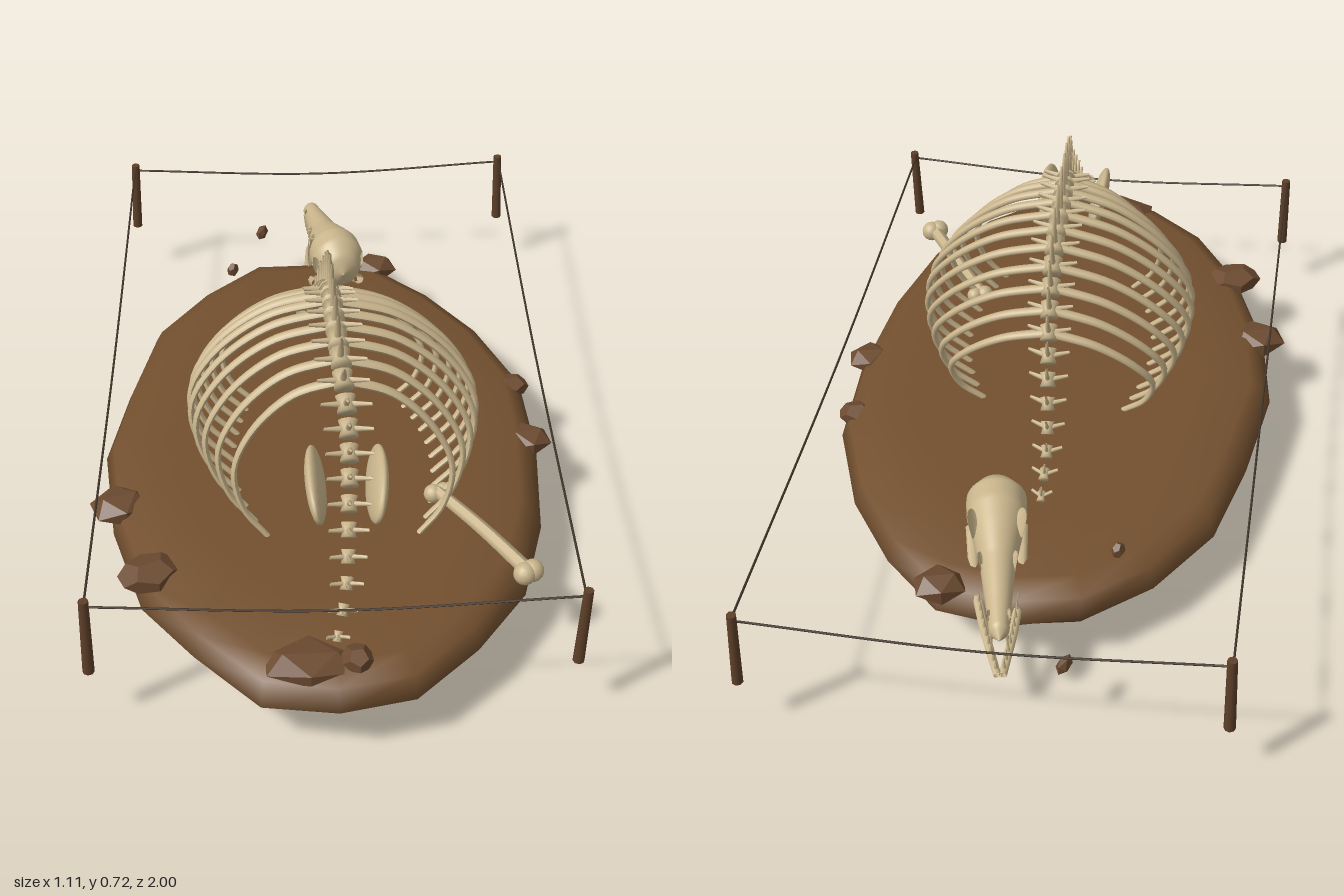
import * as THREE from 'three';

const mat = (name, color, extra = {}) => Object.assign(new THREE.MeshStandardMaterial({ color, ...extra }), { name });
const V = (x, y, z) => new THREE.Vector3(x, y, z);

export function createModel() {
  const root = new THREE.Group();
  const bone = mat('bone', 0xc9b58c, { side: THREE.DoubleSide });
  const earth = mat('earth', 0x73502f);
  const stone = mat('stone', 0x6b4a30, { flatShading: true });
  const wood = mat('wood', 0x5e4029);
  const cord = mat('cord', 0x40352a);

  let seed = 7;
  const rand = () => (seed = (seed * 16807) % 2147483647) / 2147483647;

  const add = (name, geo, material, parent = root) => {
    const m = new THREE.Mesh(geo, material);
    m.name = name;
    parent.add(m);
    return m;
  };

  // Tapered tube through points, optionally widened along z
  const limb = (name, pts, r0, r1, material = bone, parent = root, wide = 1, n = 14, sides = 7) => {
    const path = pts.length > 2 ? new THREE.CatmullRomCurve3(pts) : new THREE.LineCurve3(...pts);
    const geo = new THREE.TubeGeometry(path, n, 1, sides);
    const pos = geo.attributes.position, v = V();
    for (let i = 0; i < pos.count; i++) {
      const u = Math.floor(i / (sides + 1)) / n, c = path.getPointAt(u);
      v.fromBufferAttribute(pos, i).sub(c).multiplyScalar(r0 + (r1 - r0) * u);
      v.z *= wide;
      v.add(c);
      pos.setXYZ(i, v.x, v.y, v.z);
    }
    geo.computeVertexNormals();
    return add(name, geo, material, parent);
  };

  // Closed skin over rings of equal point count, leaving out cells that skip() picks
  const loft = (rings, skip = () => false) => {
    const n = rings[0].length, index = [];
    for (let i = 0; i < rings.length - 1; i++) for (let j = 0; j < n; j++) {
      if (skip(i + 0.5, j + 0.5)) continue;
      const a = i * n + j, b = i * n + (j + 1) % n;
      index.push(a, a + n, b, b, a + n, b + n);
    }
    const geo = new THREE.BufferGeometry().setFromPoints(rings.flat());
    geo.setIndex(index);
    geo.computeVertexNormals();
    return geo;
  };

  // Earth mound
  const rim = Array.from({ length: 20 }, () => [0.975 + rand() * 0.04, (rand() - 0.5) * 0.04]);
  const layers = [[0, 0, 0], [0.35, 0.005, 0], [0.7, 0.033, 0], [0.94, 0.075, 0.4], [1, 0.125, 1],
    [0.965, 0.168, 0.5], [0.9, 0.19, 0.2], [0.7, 0.198, 0], [0, 0.2, 0]];
  add('mound', loft(layers.map(([s, y, k]) => rim.map(([r, dy], j) => {
    const a = j / rim.length * Math.PI * 2;
    return V(Math.cos(a) * 0.53 * s * r, y + dy * k, 0.13 + Math.sin(a) * 0.865 * s * r);
  }))), earth);

  // Loose rocks: x, y, z, half sizes
  [[-0.49, 0.17, 0.35, 0.075, 0.035, 0.065], [-0.41, 0.18, 0.6, 0.075, 0.03, 0.06],
    [-0.06, 0.178, 0.89, 0.11, 0.028, 0.075], [0.04, 0.195, 0.9, 0.035, 0.025, 0.04],
    [0.16, 0.17, -0.67, 0.065, 0.035, 0.055], [0.48, 0.17, -0.1, 0.045, 0.025, 0.04],
    [0.495, 0.17, 0.125, 0.06, 0.03, 0.055], [-0.23, 0.235, -0.57, 0.015, 0.02, 0.02],
    [-0.15, 0.17, -0.87, 0.015, 0.02, 0.028]].forEach(([x, y, z, a, b, c], i) => {
    const m = add('rock', i % 2 ? new THREE.DodecahedronGeometry(1) : new THREE.IcosahedronGeometry(1), stone);
    m.position.set(x, y, z);
    m.scale.set(a, b, c);
    m.rotation.y = i > 6 ? -0.4 : rand() * 0.5;
  });

  // Corner stakes and the sagging cord between them
  const stakes = [[-0.51, -0.97], [0.535, -0.99], [0.52, 0.865], [-0.53, 0.865]];
  stakes.forEach(([x, z], i) => {
    const s = add('stake', new THREE.CylinderGeometry(0.011, 0.013, 0.2, 8), wood);
    s.position.set(x, 0.24, z);
    s.rotation.z = (rand() - 0.5) * 0.08;
    const [x2, z2] = stakes[(i + 1) % 4];
    limb('cord', [V(x, 0.323, z), V((x + x2) / 2, 0.298, (z + z2) / 2), V(x2, 0.323, z2)],
      0.0028, 0.0028, cord, root, 1, 20, 5);
  });

  // Spine, from tail to neck
  const spine = new THREE.CatmullRomCurve3([V(0, 0.22, 0.86), V(0.02, 0.29, 0.79), V(0.03, 0.4, 0.68),
    V(0.035, 0.51, 0.52), V(0.025, 0.585, 0.4), V(0.015, 0.61, 0.25), V(0.01, 0.59, 0.1), V(0, 0.5, -0.06),
    V(-0.015, 0.39, -0.19), V(-0.028, 0.27, -0.3), V(-0.03, 0.22, -0.4)]);
  const count = 28;
  for (let i = 0; i < count; i++) {
    const u = i / (count - 1), p = spine.getPointAt(u), t = spine.getTangentAt(u);
    const size = 0.4 + 0.6 * Math.pow(Math.sin(Math.PI * u), 0.8);
    const vertebra = new THREE.Group();
    vertebra.name = 'vertebra';
    root.add(vertebra);

    const profile = [[0, -0.02], [0.025, -0.02], [0.018, 0], [0.025, 0.02], [0, 0.02]];
    const body = add('vertebraBody', new THREE.LatheGeometry(
      profile.map(([r, y]) => new THREE.Vector2(r * size, y * (0.3 + 0.7 * size))), 10), bone, vertebra);
    body.position.copy(p);
    body.quaternion.setFromUnitVectors(V(0, 1, 0), t);

    const up = V(0, -t.z, t.y + 0.25).normalize();
    const tall = 0.03 + 0.085 * Math.pow(Math.sin(Math.PI * u), 2);
    limb('neuralSpine', [p.clone(), p.clone().addScaledVector(up, tall * 0.6),
      p.clone().addScaledVector(up, tall).add(V(0, 0, tall * 0.12))],
    0.009 * size, 0.003, bone, vertebra, 1.5, 6, 6);
    for (const s of [-1, 1]) {
      limb('sideProcess', [p.clone(), p.clone().add(V(s * 0.06 * size, 0.008, 0.012))],
        0.01 * size, 0.004, bone, vertebra, 1, 3, 6);
    }

    // Rib pair
    if (p.z > -0.14 && p.z < 0.46) {
      const w = 0.335 * (1 - 0.3 * ((p.z - 0.16) / 0.28) ** 2);
      for (const s of [-1, 1]) {
        const pts = [[0, 1, 0], [0.45, 0.9, 0], [0.83, 0.67, 0.015], [1, 0.43, 0.04], [0.92, 0.18, 0.06], [0.7, 0, 0.075]]
          .map(([fx, fy, dz]) => V(p.x + s * w * fx, 0.195 + (p.y - 0.195) * fy, p.z + dz));
        limb('rib', pts, 0.0095, 0.006, bone, root, 1.5, 28, 8);
      }
    }
  }

  // Pelvis blades
  for (const s of [-1, 1]) {
    const blade = add('pelvisBlade', new THREE.SphereGeometry(1, 24, 16), bone);
    blade.position.set(0.028 + s * 0.067, 0.415, 0.59);
    blade.scale.set(0.02, 0.06, 0.12);
    blade.rotation.z = -s * 0.25;
  }

  // Loose leg bone
  limb('legBoneShaft', [V(0.25, 0.222, 0.385), V(0.34, 0.222, 0.52), V(0.43, 0.216, 0.665)], 0.015, 0.018);
  for (const [x, z, r] of [[0.24, 0.385, 0.022], [0.265, 0.375, 0.02], [0.42, 0.67, 0.026], [0.438, 0.66, 0.026]]) {
    add('legBoneKnob', new THREE.SphereGeometry(r, 14, 10), bone).position.set(x, 0.216, z);
  }

  // Skull: rows of t, centre height, half height, half width
  const head = new THREE.Group();
  head.name = 'skull';
  head.position.set(0.066, 0, -0.45);
  head.rotation.y = 0.18;
  root.add(head);
  const L = 0.445, rows = 60, cols = 48;
  const rowsAt = [[0, 0.29, 0.002, 0.002], [0.04, 0.29, 0.045, 0.044], [0.14, 0.295, 0.07, 0.069],
    [0.26, 0.294, 0.07, 0.068], [0.38, 0.285, 0.06, 0.056], [0.55, 0.27, 0.045, 0.04],
    [0.8, 0.253, 0.031, 0.028], [0.95, 0.244, 0.024, 0.021], [1, 0.24, 0.002, 0.002]];
  const section = t => {
    const k = Math.max(1, rowsAt.findIndex(r => r[0] >= t)), a = rowsAt[k - 1], b = rowsAt[k];
    const f = (t - a[0]) / (b[0] - a[0]);
    return a.map((v, i) => v + (b[i] - v) * f);
  };
  // Openings: t, angle, and radii of each
  const holes = [[0.34, 0.3, 0.075, 0.42], [0.55, 0.2, 0.05, 0.4], [0.12, 0.05, 0.04, 0.3], [0.87, 0.4, 0.03, 0.35]]
    .flatMap(([t, a, rt, ra]) => [[t, a, rt, ra], [t, Math.PI - a, rt, ra]]);
  const offset = (t, a, h) => {
    const da = Math.atan2(Math.sin(a - h[1]), Math.cos(a - h[1]));
    return [(t - h[0]) / h[2], da / h[3]];
  };
  const rings = Array.from({ length: rows + 1 }, (_, i) => Array.from({ length: cols }, (_, j) => {
    let t = i / rows, a = j / cols * Math.PI * 2;
    for (const h of holes) {
      const [dx, dy] = offset(t, a, h), d = Math.hypot(dx, dy);
      if (d > 0.65 && d < 1) { t = h[0] + dx / d * h[2]; a = h[1] + dy / d * h[3]; }
    }
    const [, y, hh, w] = section(t);
    return V(Math.cos(a) * w, y + Math.sin(a) * hh, -t * L);
  }));
  add('cranium', loft(rings, (i, j) => holes.some(h =>
    Math.hypot(...offset(i / rows, j / cols * Math.PI * 2, h)) < 0.85)), bone, head);

  // Lower jaw and teeth
  const tooth = (x, y, z, len) => {
    const m = add('tooth', new THREE.ConeGeometry(0.005, Math.abs(len), 6), bone, head);
    m.position.set(x, y + len / 2, z);
    if (len < 0) m.rotation.x = Math.PI;
  };
  for (const s of [-1, 1]) {
    const jaw = [V(s * 0.058, 0.225, -0.07), V(s * 0.052, 0.17, -0.18), V(s * 0.034, 0.135, -0.3), V(s * 0.006, 0.113, -0.425)];
    limb('lowerJaw', jaw, 0.014, 0.009, bone, head);
    const line = new THREE.CatmullRomCurve3(jaw);
    for (let i = 0; i < 9; i++) {
      const t = 0.5 + i * 0.055, [, y, h, w] = section(t);
      tooth(s * w * 0.8, y - h * 0.55, -t * L, -0.042);
      const p = line.getPointAt(0.5 + i * 0.058);
      tooth(p.x, p.y + 0.005, p.z, 0.035);
    }
  }
  return root;
}
